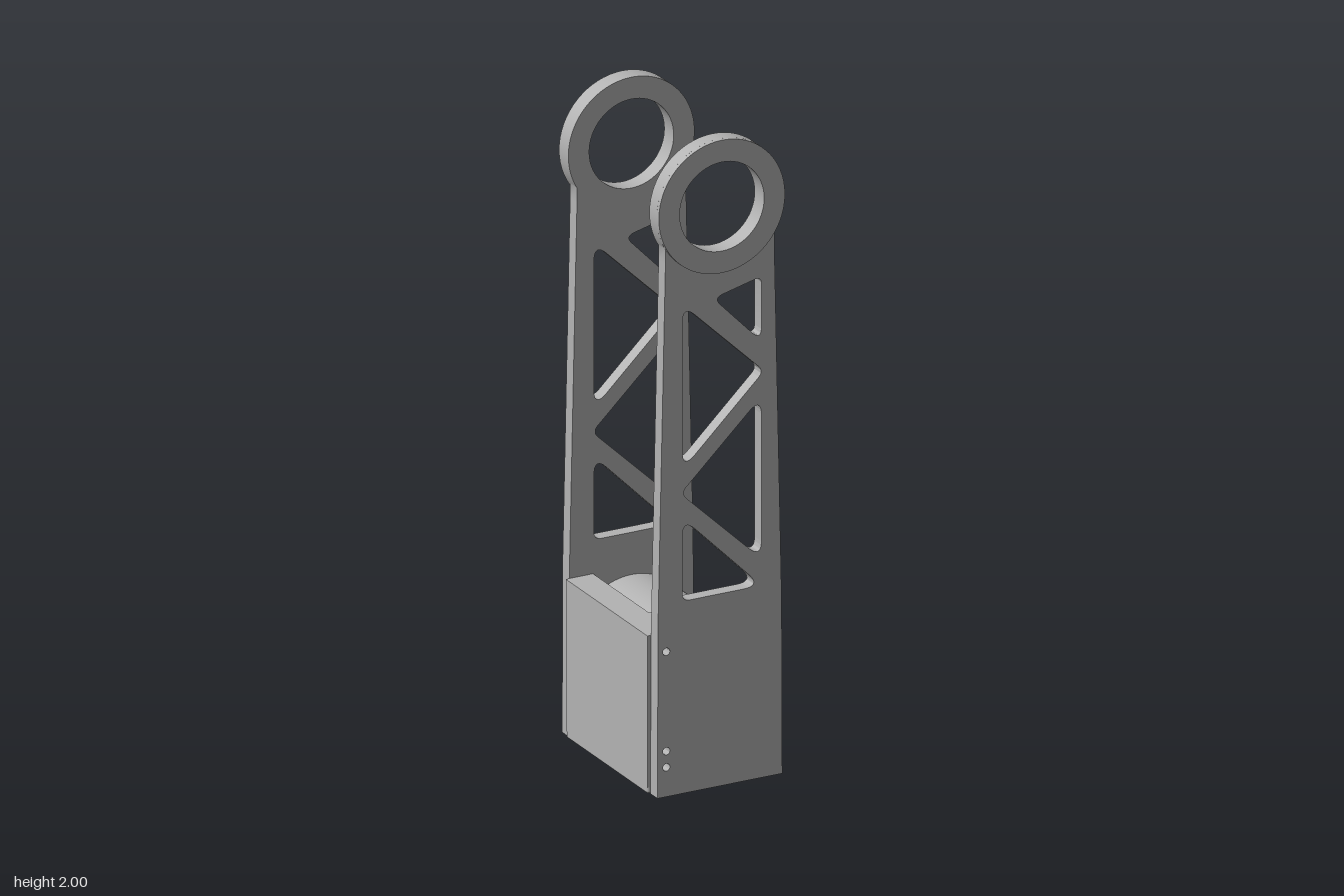
import * as THREE from 'three';
import { toCreasedNormals } from 'three/addons/utils/BufferGeometryUtils.js';
import { RoundedBoxGeometry } from 'three/addons/geometries/RoundedBoxGeometry.js';

export function createModel() {
  const group = new THREE.Group();
  const grey = new THREE.MeshStandardMaterial({ color: 0xb3b3b3 });
  grey.name = 'machined grey';

  const add = (name, geometry, x = 0, y = 0, z = 0) => {
    const mesh = new THREE.Mesh(geometry, grey);
    mesh.name = name;
    mesh.position.set(x, y, z);
    group.add(mesh);
    return mesh;
  };

  // Extrude a shape between two z positions
  const slab = (name, shape, z0, z1, x = 0, y = 0) => {
    const geo = new THREE.ExtrudeGeometry(shape, { depth: z1 - z0, bevelEnabled: false, curveSegments: 32 });
    return add(name, toCreasedNormals(geo, 0.5), x, y, z0);
  };

  const box = (name, x0, x1, y0, y1, z0, z1) =>
    add(name, new THREE.BoxGeometry(x1 - x0, y1 - y0, z1 - z0), (x0 + x1) / 2, (y0 + y1) / 2, (z0 + z1) / 2);

  const circle = (x, y, r) => new THREE.Path().absarc(x, y, r, 0, Math.PI * 2, true);

  // Closed polygon path with its corners rounded to radius r
  const roundedPath = (points, r) => {
    const path = new THREE.Path();
    const pts = points.map(([x, y]) => new THREE.Vector2(x, y));
    pts.forEach((p, i) => {
      const a = pts[(i + pts.length - 1) % pts.length].clone().sub(p).normalize();
      const b = pts[(i + 1) % pts.length].clone().sub(p).normalize();
      const trim = r / Math.tan(Math.acos(a.dot(b)) / 2);
      const s = p.clone().addScaledVector(a, trim), e = p.clone().addScaledVector(b, trim);
      if (i === 0) path.moveTo(s.x, s.y); else path.lineTo(s.x, s.y);
      path.quadraticCurveTo(p.x, p.y, e.x, e.y);
    });
    path.closePath();
    return path;
  };

  // Side arms: tapered plate, truss cutouts and round eye
  const eyeY = 1.803, eyeR = 0.197, boreR = 0.132;
  const trusses = [
    [[-0.02, 1.53], [0.13, 1.567], [0.13, 1.375]],
    [[-0.117, 1.53], [0.138, 1.285], [-0.117, 1.04]],
    [[0.13, 1.21], [-0.122, 0.97], [0.13, 0.73]],
    [[-0.117, 0.897], [0.13, 0.65], [-0.117, 0.65]],
  ];
  const arm = new THREE.Shape();
  arm.moveTo(-0.195, 0.08);
  arm.lineTo(0.195, 0.08);
  arm.lineTo(0.193, 0.6);
  arm.lineTo(0.17, 1.66);
  arm.absarc(0, eyeY, eyeR, -0.53, Math.PI + 0.53, false);
  arm.lineTo(-0.17, 1.66);
  arm.lineTo(-0.193, 0.6);
  arm.closePath();
  arm.holes.push(circle(0, eyeY, boreR));
  trusses.forEach((t, i) => arm.holes.push(roundedPath(t, i === 0 ? 0.018 : 0.024)));
  for (const y of [0.51, 0.215, 0.167]) arm.holes.push(circle(-0.167, y, 0.011));
  slab('frontArm', arm, 0.28, 0.32);
  slab('backArm', arm, -0.233, -0.193);

  const eye = new THREE.Shape().absarc(0, eyeY, eyeR, 0, Math.PI * 2, false);
  eye.holes.push(circle(0, eyeY, boreR));
  slab('frontEye', eye, 0.277, 0.332);
  slab('backEye', eye, -0.247, -0.193);

  // Housing between the arms
  const cy = 0.34;
  add('basePlate', new RoundedBoxGeometry(0.41, 0.055, 0.473, 2, 0.008), 0, 0.1075, 0.0435);
  box('outerWall', -0.205, -0.188, 0.1, 0.55, -0.193, 0.28);

  // Wall with a half-round bore behind the motor
  const cradle = new THREE.Shape();
  cradle.moveTo(-0.19, 0.135);
  cradle.lineTo(-0.12, 0.135);
  cradle.lineTo(-0.12, cy - 0.143);
  cradle.absarc(0, cy, 0.1867, -2.269, 2.269, true);
  cradle.lineTo(-0.12, 0.55);
  cradle.lineTo(-0.19, 0.55);
  slab('motorCradle', cradle, -0.193, 0.135);

  // Front pocket, open towards +x
  const pocket = new THREE.Shape();
  pocket.moveTo(-0.19, 0.135);
  pocket.lineTo(0.19, 0.135);
  pocket.lineTo(0.19, 0.155);
  pocket.lineTo(0, 0.155);
  pocket.absarc(0, cy, 0.185, -Math.PI / 2, Math.PI / 2, true);
  pocket.lineTo(0.19, 0.525);
  pocket.lineTo(0.19, 0.55);
  pocket.lineTo(-0.19, 0.55);
  slab('frontPocket', pocket, 0.155, 0.28);
  box('divider', -0.19, 0.19, 0.135, 0.55, 0.132, 0.156);

  // Motor
  const motor = add('motor', new THREE.CylinderGeometry(0.185, 0.185, 0.323, 64), 0, cy, -0.0305);
  motor.rotation.x = Math.PI / 2;

  // Drive pulley: toothed drum, lobed bore, two flanges
  const star = (lobes, r0, r1) => {
    const pts = [];
    for (let i = 0; i < lobes * 4; i++) {
      const a = (-i / (lobes * 4)) * Math.PI * 2, r = i % 4 < 2 ? r1 : r0;
      pts.push(new THREE.Vector2(Math.cos(a) * r, Math.sin(a) * r));
    }
    return pts;
  };
  const lobedBore = () => new THREE.Path(star(6, 0.045, 0.088));
  const drum = new THREE.Shape(star(18, 0.106, 0.122).reverse());
  drum.holes.push(lobedBore());
  slab('pulleyDrum', drum, -0.325, -0.24, 0, cy);
  const flange = new THREE.Shape().absarc(0, 0, 0.134, 0, Math.PI * 2, false);
  flange.holes.push(lobedBore());
  slab('pulleyOuterFlange', flange, -0.335, -0.326, 0, cy);
  slab('pulleyInnerFlange', flange, -0.25, -0.233, 0, cy);
  const shaft = add('motorShaft', new THREE.CylinderGeometry(0.022, 0.022, 0.09, 24), 0, cy, -0.278);
  shaft.rotation.x = Math.PI / 2;

  // Lathe from [radius, height] pairs
  const turned = (name, points, x, y, z) => add(name, toCreasedNormals(
    new THREE.LatheGeometry(points.map(([r, h]) => new THREE.Vector2(r, h)), 40), 0.5), x, y, z);

  // Flared belt idlers
  for (const side of [-1, 1]) {
    const idler = turned('idler', [[0, 0], [0.034, 0], [0.034, 0.008], [0.026, 0.022], [0.026, 0.05],
      [0.04, 0.071], [0.04, 0.077], [0.01, 0.077], [0.01, 0.06], [0, 0.06]], side * 0.1, 0.535, -0.232);
    idler.rotation.x = -Math.PI / 2;
  }

  // Hollow splined coupling under the base
  const hx = 0.01, hz = 0.055;
  turned('baseCoupling', [[0.07, 0.07], [0.07, 0], [0.088, 0], [0.095, 0.06], [0.112, 0.062],
    [0.112, 0.076], [0.09, 0.076], [0.09, 0.085], [0, 0.085], [0, 0.07], [0.07, 0.07]], hx, 0, hz);
  for (let i = 0; i < 12; i++) {
    const a = (i / 12) * Math.PI * 2;
    const spline = add('couplingSpline', new THREE.BoxGeometry(0.018, 0.07, 0.014),
      hx + Math.cos(a) * 0.066, 0.037, hz + Math.sin(a) * 0.066);
    spline.rotation.y = -a;
  }
  return group;
}
